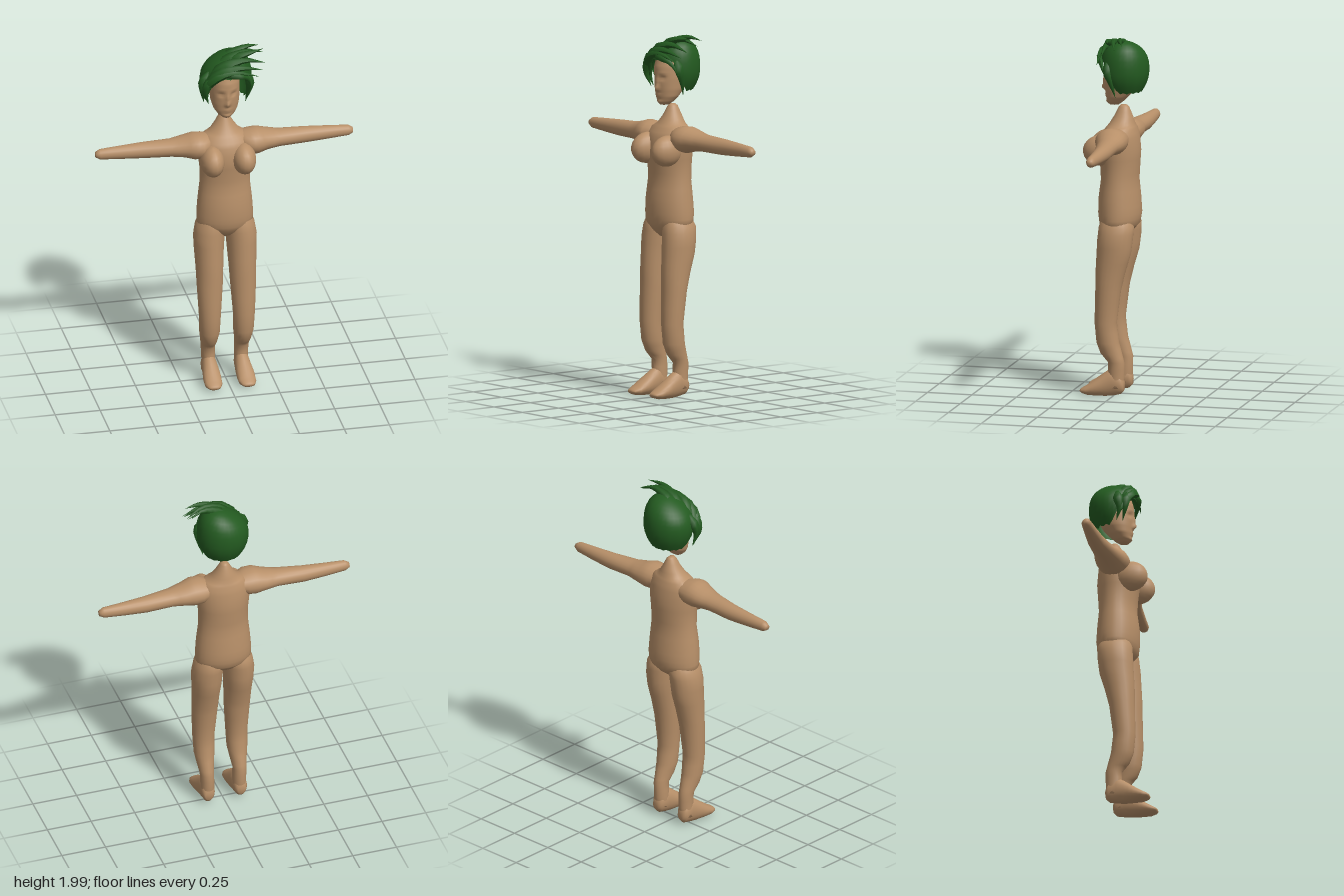
import * as THREE from 'three';

const skin = new THREE.MeshStandardMaterial({ color: 0xb89069 });
skin.name = 'skin';
const green = new THREE.MeshStandardMaterial({ color: 0x235a20, side: THREE.DoubleSide });
green.name = 'hairGreen';

// Closed-around surface from rings: point(i, j) for ni rings of nj points
function surface(ni, nj, point) {
  const pos = [], idx = [];
  for (let i = 0; i < ni; i++) for (let j = 0; j < nj; j++) pos.push(...point(i, j));
  for (let i = 0; i < ni - 1; i++) for (let j = 0; j < nj; j++) {
    const k = (j + 1) % nj;
    const a = i * nj + j, b = i * nj + k, c = b + nj, d = a + nj;
    idx.push(a, b, c, a, c, d);
  }
  const g = new THREE.BufferGeometry();
  g.setAttribute('position', new THREE.Float32BufferAttribute(pos, 3));
  g.setIndex(idx);
  g.computeVertexNormals();
  return g;
}

// Elliptic loft; rows are [t, uMin, uMax, vMin, vMax], (t,u,v) = (x,y,z), (y,z,x) or (z,x,y)
function loft(axis, rows, n = 20, sub = 2) {
  const rings = [];
  rows.forEach((r, i) => {
    const next = rows[i + 1];
    if (!next) return rings.push(r);
    for (let s = 0; s < sub; s++) rings.push(r.map((v, k) => v + (next[k] - v) * s / sub));
  });
  const cap = ([t, a, b, c, d]) => [t, (a + b) / 2, (a + b) / 2, (c + d) / 2, (c + d) / 2];
  rings.unshift(cap(rings[0]));
  rings.push(cap(rings[rings.length - 1]));
  return surface(rings.length, n, (i, j) => {
    const [t, a, b, c, d] = rings[i], w = j / n * Math.PI * 2;
    const u = (a + b) / 2 + (b - a) / 2 * Math.cos(w);
    const v = (c + d) / 2 + (d - c) / 2 * Math.sin(w);
    return axis === 'x' ? [t, u, v] : axis === 'y' ? [v, t, u] : [u, v, t];
  });
}

// Mirrored copy across x = 0 with the winding put right
function mirror(geo) {
  const g = geo.clone().scale(-1, 1, 1), a = g.index.array;
  for (let i = 0; i < a.length; i += 3) [a[i], a[i + 1]] = [a[i + 1], a[i]];
  g.computeVertexNormals();
  return g;
}

// Tapered, slightly flattened lock of hair along a curve
function lock(points, r) {
  const curve = new THREE.CatmullRomCurve3(points.map(p => new THREE.Vector3(...p)));
  const seg = 8, sides = 6;
  const g = new THREE.TubeGeometry(curve, seg, r, sides);
  const p = g.attributes.position, v = new THREE.Vector3();
  for (let i = 0; i < p.count; i++) {
    const t = Math.floor(i / (sides + 1)) / seg, c = curve.getPointAt(t);
    const k = Math.max(0.02, Math.min(1, 0.5 + t * 2) * Math.min(1, (1 - t) * 1.6));
    v.fromBufferAttribute(p, i).sub(c).multiplyScalar(k).add(c);
    p.setXYZ(i, v.x, v.y, v.z);
  }
  g.computeVertexNormals();
  return g;
}

export function createModel() {
  const model = new THREE.Group();
  model.name = 'figure';
  const add = (name, geo, mat = skin) => {
    const m = new THREE.Mesh(geo, mat);
    m.name = name;
    model.add(m);
  };
  const pair = (name, geo) => {
    add('left' + name, geo);
    add('right' + name, mirror(geo));
  };

  // Torso and neck
  add('torso', loft('y', [
    [0.89, -0.05, 0.04, -0.05, 0.05], [0.92, -0.09, 0.07, -0.11, 0.11],
    [0.96, -0.125, 0.092, -0.155, 0.155], [1.02, -0.135, 0.1, -0.156, 0.156],
    [1.1, -0.13, 0.098, -0.15, 0.15], [1.2, -0.12, 0.085, -0.139, 0.139],
    [1.28, -0.125, 0.09, -0.138, 0.138], [1.36, -0.13, 0.1, -0.147, 0.147],
    [1.44, -0.122, 0.088, -0.15, 0.15], [1.485, -0.11, 0.06, -0.125, 0.125],
    [1.51, -0.1, 0.04, -0.082, 0.082], [1.55, -0.088, 0.015, -0.052, 0.052],
    [1.6, -0.068, -0.01, -0.025, 0.025], [1.612, -0.055, -0.022, -0.012, 0.012],
  ], 28));

  // Chest
  const chest = new THREE.SphereGeometry(1, 18, 12);
  chest.scale(0.066, 0.085, 0.1).rotateX(0.15).translate(0.088, 1.37, 0.068);
  pair('Chest', chest);

  // Arms
  pair('Arm', loft('x', [
    [0.07, 1.4, 1.49, -0.085, 0.04], [0.13, 1.365, 1.505, -0.098, 0.08],
    [0.175, 1.362, 1.508, -0.1, 0.078], [0.23, 1.376, 1.492, -0.096, 0.058],
    [0.3, 1.383, 1.478, -0.082, 0.038], [0.45, 1.381, 1.47, -0.08, 0.012],
    [0.58, 1.388, 1.462, -0.07, 0.0], [0.69, 1.396, 1.455, -0.06, -0.008],
    [0.715, 1.41, 1.44, -0.05, -0.018],
  ]));

  // Legs
  pair('Leg', loft('y', [
    [0.06, -0.058, 0.02, 0.055, 0.13], [0.12, -0.065, 0.025, 0.053, 0.128],
    [0.2, -0.065, 0.025, 0.055, 0.132], [0.25, -0.052, 0.068, 0.048, 0.14],
    [0.31, -0.035, 0.09, 0.038, 0.15], [0.42, -0.022, 0.1, 0.034, 0.155],
    [0.6, -0.045, 0.096, 0.021, 0.164], [0.7, -0.07, 0.095, 0.016, 0.167],
    [0.8, -0.1, 0.09, 0.01, 0.172], [0.88, -0.11, 0.086, 0.004, 0.175],
    [0.95, -0.115, 0.08, 0.0, 0.163], [1.01, -0.09, 0.06, 0.02, 0.13],
  ]));

  // Feet
  pair('Foot', loft('z', [
    [-0.063, 0.07, 0.115, 0.045, 0.1], [-0.045, 0.056, 0.128, 0.025, 0.14],
    [0.0, 0.05, 0.132, 0.015, 0.165], [0.04, 0.046, 0.136, 0.01, 0.142],
    [0.09, 0.043, 0.143, 0.01, 0.105], [0.14, 0.046, 0.142, 0.013, 0.07],
    [0.17, 0.06, 0.13, 0.022, 0.052], [0.18, 0.075, 0.115, 0.03, 0.044],
  ]));

  // Head, with the features pushed in and out of the face
  const head = loft('y', [
    [1.612, -0.01, 0.042, -0.022, 0.022], [1.63, -0.035, 0.055, -0.045, 0.045],
    [1.66, -0.065, 0.06, -0.066, 0.066], [1.7, -0.1, 0.065, -0.078, 0.078],
    [1.76, -0.13, 0.07, -0.084, 0.084], [1.82, -0.14, 0.07, -0.084, 0.084],
    [1.87, -0.13, 0.056, -0.076, 0.076], [1.92, -0.09, 0.02, -0.045, 0.045],
  ], 56, 5);
  const features = [ // x, y, width, height, depth
    [0, 1.705, 0.013, 0.014, 0.02], [0, 1.74, 0.009, 0.028, 0.011],
    [0.034, 1.763, 0.017, 0.011, -0.012], [-0.034, 1.763, 0.017, 0.011, -0.012],
    [0.035, 1.789, 0.024, 0.008, 0.005], [-0.035, 1.789, 0.024, 0.008, 0.005],
    [0, 1.669, 0.02, 0.005, 0.006], [0, 1.656, 0.017, 0.005, 0.005],
    [0, 1.628, 0.02, 0.011, 0.006],
  ];
  const hp = head.attributes.position;
  for (let i = 0; i < hp.count; i++) {
    const x = hp.getX(i), y = hp.getY(i), z = hp.getZ(i);
    if (z < 0.005) continue;
    hp.setZ(i, features.reduce((s, [fx, fy, w, h, d]) =>
      s + d * Math.exp(-(((x - fx) / w) ** 2) - ((y - fy) / h) ** 2), z));
  }
  head.computeVertexNormals();
  add('head', head);

  // Hair cap: hem high over the forehead, low at the sides and back
  const rings = 12, around = 32;
  add('hairCap', surface(rings + 1, around, (i, j) => {
    const w = j / around * Math.PI * 2;
    const hem = 1.69 + 0.17 * THREE.MathUtils.smoothstep(Math.cos(w), 0.05, 0.8) + (j % 2) * 0.008;
    const y = 1.97 - (1.97 - hem) * (1 - Math.sin(i / rings * Math.PI / 2));
    const k = (y - 1.81) / 0.16;
    const r = k > 0 ? Math.sqrt(Math.max(0, 1 - k ** 2.6)) : 1 - 0.3 * (k / 0.75) ** 2;
    const x = Math.sin(w) * 0.142 * r;
    return [x + 0.012, y + Math.max(0, k) * x * 0.3, -0.046 + Math.cos(w) * 0.134 * r];
  }), green);

  // Swept fringe, wind-blown tips and side locks
  const locks = [
    [[[-0.13, 1.76, 0.02], [-0.08, 1.86, 0.065], [0.03, 1.9, 0.08], [0.17, 1.86, 0.07]], 0.026],
    [[[-0.12, 1.8, 0.02], [-0.05, 1.89, 0.06], [0.07, 1.92, 0.07], [0.2, 1.89, 0.06]], 0.028],
    [[[-0.1, 1.84, 0.0], [-0.02, 1.92, 0.04], [0.1, 1.95, 0.04], [0.215, 1.92, 0.03]], 0.03],
    [[[-0.07, 1.88, -0.03], [0.02, 1.95, 0.0], [0.12, 1.98, -0.01], [0.215, 1.95, -0.04]], 0.028],
    [[[-0.04, 1.91, -0.06], [0.05, 1.965, -0.04], [0.13, 1.99, -0.05], [0.2, 1.975, -0.08]], 0.026],
    [[[0.0, 1.93, 0.0], [0.08, 1.97, 0.02], [0.14, 1.985, 0.02], [0.21, 1.99, 0.0]], 0.022],
    [[[-0.03, 1.88, 0.06], [0.05, 1.88, 0.08], [0.11, 1.85, 0.06], [0.14, 1.78, 0.03]], 0.022],
    [[[-0.06, 1.87, 0.05], [-0.1, 1.84, 0.05], [-0.12, 1.78, 0.05], [-0.1, 1.7, 0.03]], 0.026],
    [[[-0.09, 1.88, 0.0], [-0.125, 1.83, 0.01], [-0.13, 1.77, 0.02], [-0.12, 1.7, 0.0]], 0.026],
    [[[0.1, 1.88, 0.02], [0.13, 1.82, 0.02], [0.13, 1.75, 0.0], [0.115, 1.67, -0.02]], 0.026],
  ];
  locks.forEach(([points, r], i) => add('hairLock' + (i + 1), lock(points, r), green));

  return model;
}
